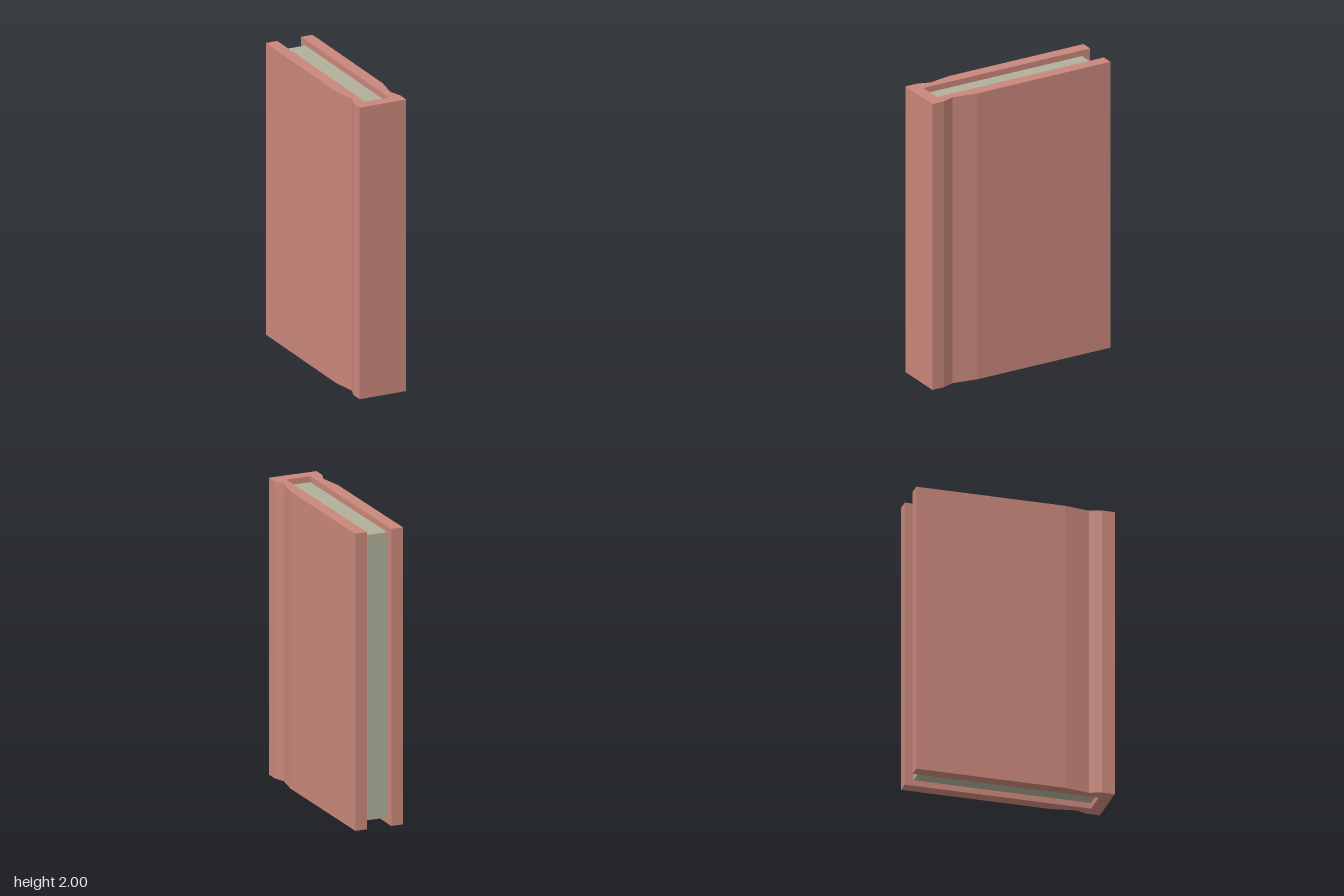
import * as THREE from 'three';

const HEIGHT = 2, HALF_W = 0.168, HALF_D = 0.667;
const INNER_W = 0.086, INNER_Z = 0.583; // cavity between the boards
const PAGE_BACK = -0.607, PAGE_INSET = 0.04;

export function createModel() {
  const book = new THREE.Group();
  book.name = 'book';

  // Cover: U-shaped section with a hinge groove on each side, as [x, z] for one half
  const half = [
    [INNER_W, INNER_Z], [INNER_W, -HALF_D], [HALF_W, -HALF_D], [HALF_W, 0.335],
    [0.14, 0.5], [HALF_W, 0.58], [HALF_W, HALF_D],
  ];
  const outline = [...half, ...half.map(([x, z]) => [-x, z]).reverse()];
  const section = new THREE.Shape(outline.map(([x, z]) => new THREE.Vector2(x, -z)));
  const coverGeometry = new THREE.ExtrudeGeometry(section, { depth: HEIGHT, bevelEnabled: false });
  coverGeometry.rotateX(-Math.PI / 2);
  const cover = new THREE.Mesh(
    coverGeometry,
    new THREE.MeshStandardMaterial({ color: 0xc9877a, flatShading: true }),
  );
  cover.name = 'cover';
  book.add(cover);

  // Page block, recessed at the top, bottom and fore edge
  const pages = new THREE.Mesh(
    new THREE.BoxGeometry(2 * INNER_W, HEIGHT - 2 * PAGE_INSET, INNER_Z - PAGE_BACK),
    new THREE.MeshStandardMaterial({ color: 0xb0b09a, flatShading: true }),
  );
  pages.name = 'pages';
  pages.position.set(0, HEIGHT / 2, (INNER_Z + PAGE_BACK) / 2);
  book.add(pages);

  return book;
}
